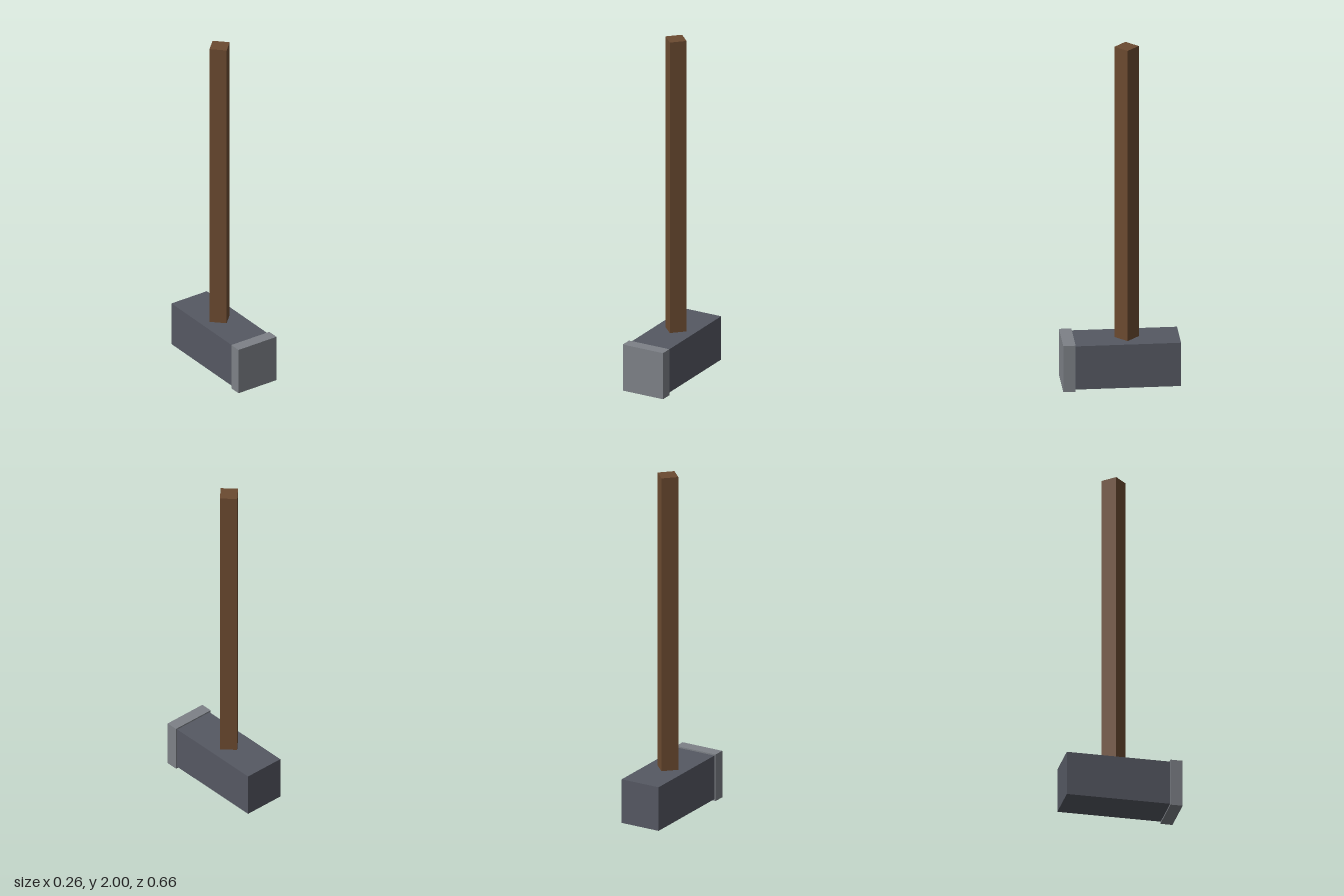
import * as THREE from 'three';

export function createModel() {
  const model = new THREE.Group();
  model.name = 'sledgehammer';

  const wood = new THREE.MeshStandardMaterial({ color: 0x6b4a30 });
  wood.name = 'brown wood';
  const iron = new THREE.MeshStandardMaterial({ color: 0x555862 });
  iron.name = 'dark iron';
  const steel = new THREE.MeshStandardMaterial({ color: 0x7d8187 });
  steel.name = 'light steel';

  // Box spanning the given heights and depths, centred on x
  function addBlock(name, width, [y0, y1], [z0, z1], material) {
    const mesh = new THREE.Mesh(new THREE.BoxGeometry(width, y1 - y0, z1 - z0), material);
    mesh.position.set(0, (y0 + y1) / 2, (z0 + z1) / 2);
    mesh.name = name;
    model.add(mesh);
    return mesh;
  }

  // Hammer head with a slightly larger striking plate in front
  addBlock('head', 0.24, [0.009, 0.267], [-0.328, 0.26], iron);
  addBlock('strikingFace', 0.258, [0, 0.275], [0.259, 0.328], steel);

  // Square handle turned on its corner, set into the head
  const handleSide = 0.068 * Math.SQRT2;
  const handle = addBlock('handle', handleSide, [0.14, 2],
    [-0.036 - handleSide / 2, -0.036 + handleSide / 2], wood);
  handle.rotation.y = Math.PI / 4;

  return model;
}
